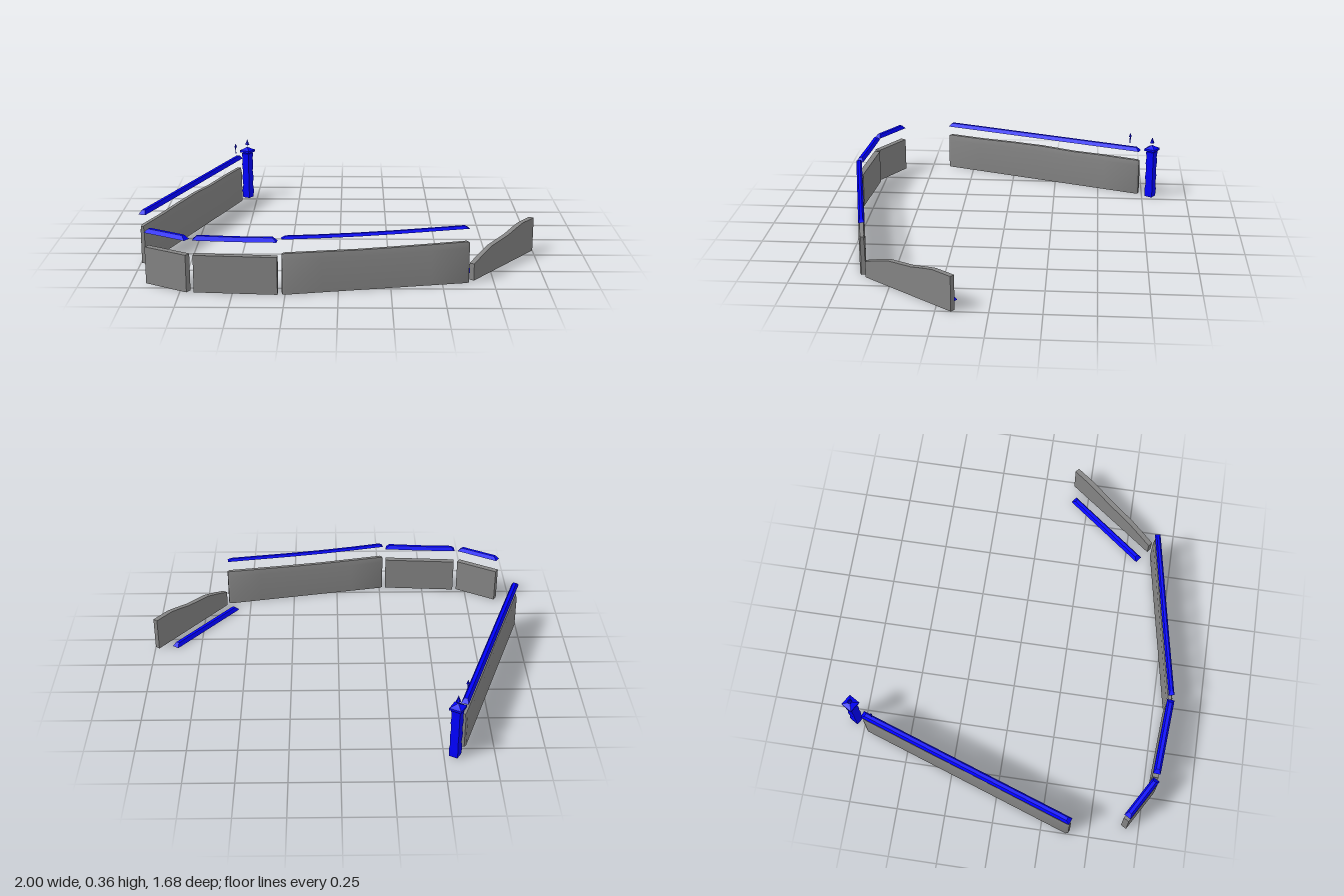
import * as THREE from 'three';
import { toCreasedNormals } from 'three/addons/utils/BufferGeometryUtils.js';

const stone = new THREE.MeshStandardMaterial({ color: 0x848484, side: THREE.DoubleSide });
const blue = new THREE.MeshStandardMaterial({ color: 0x0000ff });

// Skin a row of rings; each station is { x, ring: [[z, y, xShift], ...] }.
// The first edge of the ring is the underside, left out when openBase is true.
function loft(stations, openBase) {
  const n = stations[0].ring.length, pos = [], idx = [];
  for (const s of stations) for (const [z, y, dx = 0] of s.ring) pos.push(s.x + dx, y, z);
  for (let s = 0; s < stations.length - 1; s++) {
    for (let i = openBase ? 1 : 0; i < n; i++) {
      const a = s * n + i, b = s * n + (i + 1) % n;
      idx.push(a, b, a + n, b, b + n, a + n);
    }
  }
  const last = (stations.length - 1) * n;
  for (let i = 1; i < n - 1; i++) idx.push(0, i + 1, i, last, last + i, last + i + 1);
  const g = new THREE.BufferGeometry();
  g.setAttribute('position', new THREE.Float32BufferAttribute(pos, 3));
  g.setIndex(idx);
  return toCreasedNormals(g, 0.6);
}

// Place a part whose length runs along local x from p to q, both [x, z]
function along(name, geometry, material, p, q) {
  const mesh = new THREE.Mesh(geometry, material);
  mesh.name = name;
  mesh.position.set(p[0], 0, p[1]);
  mesh.rotation.y = -Math.atan2(q[1] - p[1], q[0] - p[0]);
  return mesh;
}

const distance = (p, q) => Math.hypot(q[0] - p[0], q[1] - p[1]);

// Long wall shell, open below, with a soft top, narrowed ends and a height per station
function wall(name, p, q, heights, width) {
  const len = distance(p, q), bevel = 0.012, w = width / 2;
  const ring = (h, k) => [[w * k, 0], [-w * k, 0], [-w * k, h - 0.03],
    [-w * k * 0.6, h], [w * k * 0.6, h], [w * k, h - 0.03]];
  const stations = heights.map((h, i) => {
    const t = i / (heights.length - 1);
    return { x: bevel + t * (len - 2 * bevel), ring: ring(h, 1) };
  });
  stations.unshift({ x: 0, ring: ring(heights[0] - 0.005, 0.6) });
  stations.push({ x: len, ring: ring(heights[heights.length - 1] - 0.005, 0.6) });
  return along(name, loft(stations, true), stone, p, q);
}

// Plain square-cut panel, open below
function panel(name, p, q, height, width) {
  const w = width / 2, ring = [[w, 0], [-w, 0], [-w, height], [w, height]];
  return along(name, loft([{ x: 0, ring }, { x: distance(p, q), ring }], true), stone, p, q);
}

// Coping rail: wide base, narrow top, sloped ends
function rail(name, p, q, bases, width, height = 0.02) {
  const len = distance(p, q), w = width / 2;
  const stations = bases.map((y, i) => {
    const t = i / (bases.length - 1);
    const dx = i === 0 ? 0.02 : i === bases.length - 1 ? -0.02 : 0;
    return {
      x: t * len,
      ring: [[w, y], [-w, y], [-w * 0.45, y + height, dx], [w * 0.45, y + height, dx]],
    };
  });
  return along(name, loft(stations, false), blue, p, q);
}

// Square or round turned part from [radius, y] pairs
function turned(name, profile, sides) {
  const points = profile.map(([r, y]) => new THREE.Vector2(r, y));
  const geometry = new THREE.LatheGeometry(points, sides);
  geometry.deleteAttribute('normal');
  const mesh = new THREE.Mesh(toCreasedNormals(geometry, 0.5), blue);
  mesh.name = name;
  return mesh;
}

export function createModel() {
  const model = new THREE.Group();
  model.name = 'fenceRing';

  // Long back wall
  const a0 = [-0.985, 0.397], a1 = [-0.595, -0.732];
  model.add(wall('longWall', a0, a1, [0.2, 0.2, 0.205, 0.207, 0.2, 0.202, 0.2], 0.034));
  model.add(rail('longRail', a0, a1, [0.255, 0.255], 0.038));

  // Short corner panel
  const b0 = [-0.92, 0.672], b1 = [-0.71, 0.794];
  model.add(panel('cornerWall', b0, b1, 0.185, 0.032));
  model.add(rail('cornerRail', b0, b1, [0.257, 0.257], 0.038));

  // Middle panel
  const c0 = [-0.682, 0.792], c1 = [-0.285, 0.82];
  model.add(panel('middleWall', c0, c1, 0.185, 0.032));
  model.add(rail('middleRail', c0, c1, [0.259, 0.257, 0.259], 0.038));

  // Front wall, its rail sagging slightly in the middle
  const d0 = [-0.265, 0.82], d1 = [0.627, 0.648];
  model.add(wall('frontWall', d0, d1, [0.202, 0.2, 0.198, 0.2, 0.203, 0.207], 0.032));
  model.add(rail('frontRail', d0, [0.622, 0.649], [0.273, 0.269, 0.267, 0.268, 0.271, 0.274], 0.03, 0.013));

  // Broken wall: uneven top, extruded from its outline
  const e0 = [0.645, 0.625], e1 = [0.99, 0.168], eLen = distance(e0, e1);
  const outline = [[0, 0], [1, 0], [1, 0.178], [0.8, 0.178], [0.7, 0.168],
    [0.55, 0.15], [0.28, 0.135], [0.13, 0.11], [0, 0.085]];
  const brokenShape = new THREE.Shape(outline.map(([t, y]) => new THREE.Vector2(t * eLen, y)));
  const brokenGeo = new THREE.ExtrudeGeometry(brokenShape, { depth: 0.026, bevelEnabled: false });
  brokenGeo.translate(0, 0, -0.013);
  model.add(along('brokenWall', brokenGeo, stone, e0, e1));

  // Rail fallen to the ground behind the broken wall
  model.add(rail('fallenRail', [0.58, 0.575], [0.893, 0.17], [0.002, 0.002], 0.04));

  // Gate post with a worn shaft, roof cap and loose finial
  const post = new THREE.Group();
  post.name = 'gatePost';
  post.position.set(-0.555, 0, -0.798);
  post.rotation.y = 0.25;
  post.add(turned('postShaft', [[0, 0], [0.031, 0], [0.034, 0.04], [0.029, 0.075], [0.033, 0.12],
    [0.029, 0.16], [0.033, 0.2], [0.03, 0.235], [0.034, 0.268], [0, 0.268]], 4));
  post.add(turned('postCap', [[0, 0.275], [0.045, 0.275], [0.045, 0.287], [0.018, 0.297], [0, 0.307]], 4));
  post.add(turned('postFinial', [[0, 0.315], [0.013, 0.318], [0.009, 0.328], [0, 0.352]], 6));
  model.add(post);

  // Arrow-shaped finial above the end of the long wall
  const spike = turned('wallFinial', [[0, 0.297], [0.003, 0.297], [0.003, 0.333],
    [0.008, 0.333], [0, 0.357]], 6);
  spike.position.set(-0.612, 0, -0.676);
  model.add(spike);

  return model;
}
